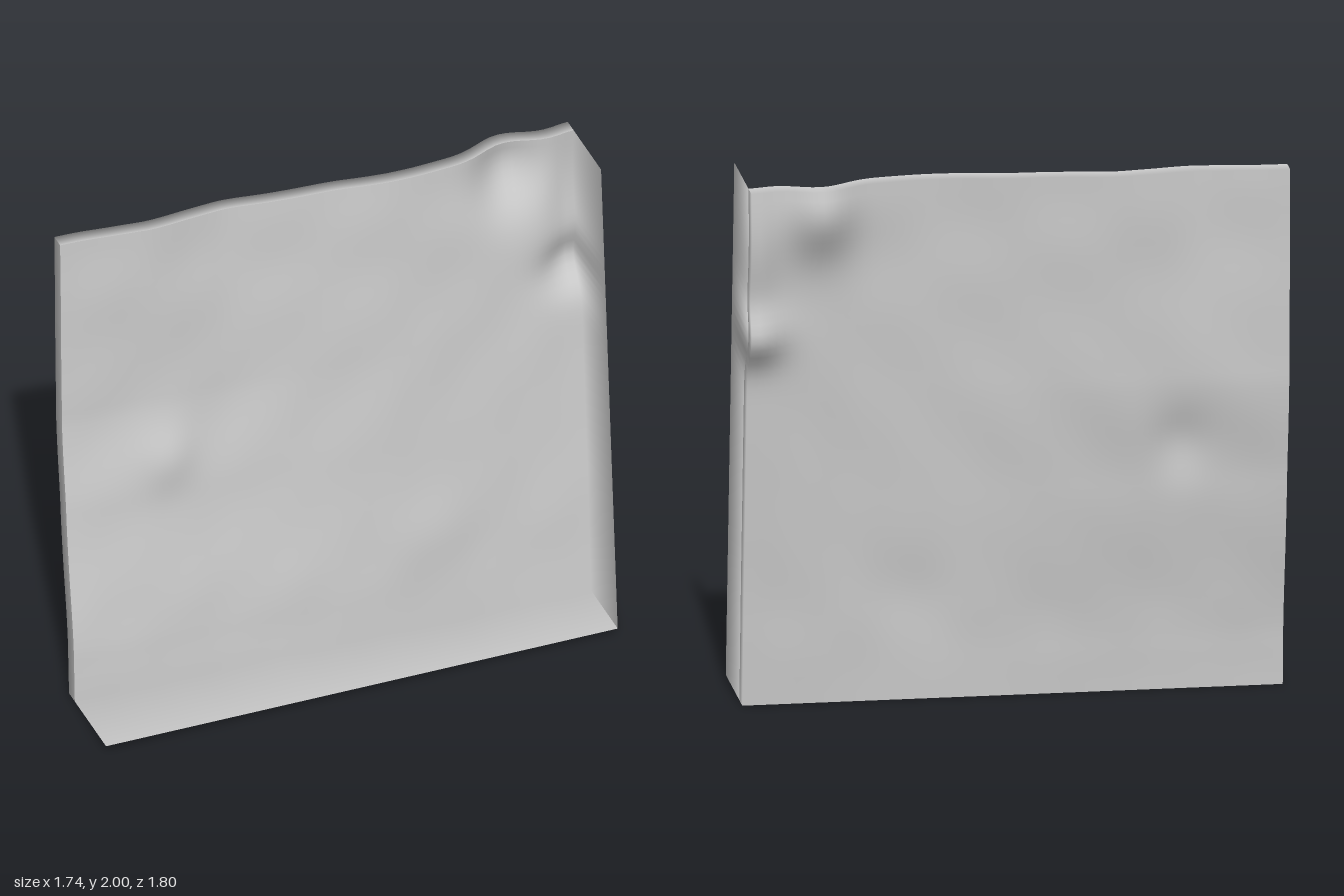
import * as THREE from 'three';

const N = 60, M = 60;              // panel columns and rows
const HALF = 0.99, THICK = 0.06;

// softly interpolated curve through [position, value] points
function curve(points, x) {
  for (let k = 1; k < points.length; k++) {
    const [x0, y0] = points[k - 1], [x1, y1] = points[k];
    if (x <= x1) return THREE.MathUtils.lerp(y0, y1, THREE.MathUtils.smoothstep(x, x0, x1) * 0.5 + 0.5 * (x - x0) / (x1 - x0));
  }
  return points[points.length - 1][1];
}

const TOP_EDGE = [[-0.99, -0.26], [-0.66, -0.23], [-0.37, -0.25], [-0.06, -0.22], [0.27, -0.18], [0.5, -0.185], [0.99, -0.21]];
const LEFT_EDGE = [[0, 0], [0.1, 0.06], [0.4, 0.58], [0.6, 0.9], [1, 1]];

// dents and bumps: u, height, depth, spread in u, spread in height
const BUMPS = [
  [0.73, 1.9, -0.085, 0.09, 0.12],
  [0.99, 1.75, -0.055, 0.07, 0.22],
  [0.97, 1.42, -0.065, 0.08, 0.07],
  [-0.6, 0.95, 0.025, 0.07, 0.09],
  [-0.72, 1.2, -0.015, 0.1, 0.25],
  [0.35, 0.4, 0.012, 0.12, 0.12],
];

// depth of the back of the rough slab at (u, t), t = 0 at the bottom and 1 at the top
function backDepth(u, t) {
  const side = (1 - u / HALF) / 2;
  const rise = THREE.MathUtils.lerp(t, curve(LEFT_EDGE, t), side ** 1.5);
  let v = THREE.MathUtils.lerp(THREE.MathUtils.lerp(-0.06, -0.11, side), curve(TOP_EDGE, u), rise);
  for (const [bu, by, d, su, sy] of BUMPS) {
    v += d * Math.exp(-(((u - bu) / su) ** 2 + ((t * 1.98 - by) / sy) ** 2) / 2);
  }
  const ripple = Math.sin(9 * u + 5 * t + 2 * Math.sin(7 * t)) * Math.sin(11 * t - 4 * u)
    + 0.5 * Math.sin(23 * u - 13 * t) * Math.sin(17 * t + 9 * u);
  return v + 0.003 * ripple * Math.min(1, 6 * t);
}

// cells of the sheet: the panel itself and the strips along its four borders
const PANEL = [1, N + 1, 1, M + 1];
const BOTTOM = [1, N + 1, 0, 1];
const TOP = [1, N + 1, M + 1, M + 2];
const LEFT = [0, 1, 1, M + 1];
const RIGHT = [N + 1, N + 2, 1, M + 1];

// rough sheet with border strips; depthAt gives the depth of grid point (i, j)
function addSheet(group, material, parts, facesBack, depthAt) {
  const cols = N + 3, positions = [];
  const id = (i, j) => j * cols + i;
  for (let j = 0; j < M + 3; j++) {
    for (let i = 0; i < cols; i++) {
      const u = HALF * (2 * THREE.MathUtils.clamp(i - 1, 0, N) / N - 1);
      const t = THREE.MathUtils.clamp(j - 1, 0, M) / M;
      const v = depthAt(i, j, backDepth(u, t), t);
      positions.push(u, 0.0087 + 1.985 * t + 0.079 * v, v);
    }
  }
  const cells = ([i0, i1, j0, j1]) => {
    const index = [];
    for (let j = j0; j < j1; j++) {
      for (let i = i0; i < i1; i++) {
        const a = id(i, j), b = id(i + 1, j), c = id(i + 1, j + 1), d = id(i, j + 1);
        index.push(...(facesBack ? [a, c, b, a, d, c] : [a, b, c, a, c, d]));
      }
    }
    return index;
  };

  const base = new THREE.BufferGeometry();
  base.setAttribute('position', new THREE.Float32BufferAttribute(positions, 3));
  base.setIndex(Object.values(parts).flatMap(cells));
  base.computeVertexNormals();

  // the panel keeps its own normals at its borders, so the strips shade softly into it
  const normal = base.attributes.normal;
  const copy = (to, from) => normal.setXYZ(to, normal.getX(from), normal.getY(from), normal.getZ(from));
  for (let i = 1; i <= N + 1; i++) {
    copy(id(i, 1), id(i, 2));
    copy(id(i, M + 1), id(i, M));
  }
  for (let j = 1; j <= M + 1; j++) {
    copy(id(1, j), id(2, j));
    copy(id(N + 1, j), id(N, j));
  }

  for (const [name, range] of Object.entries(parts)) {
    const geometry = new THREE.BufferGeometry();
    geometry.setAttribute('position', base.attributes.position);
    geometry.setAttribute('normal', normal);
    geometry.setIndex(cells(range));
    const mesh = new THREE.Mesh(geometry, material);
    mesh.name = name;
    group.add(mesh);
  }
}

export function createModel() {
  const group = new THREE.Group();
  const stone = new THREE.MeshStandardMaterial({ color: 0xcccccc, side: THREE.DoubleSide });
  stone.name = 'light grey stone';

  // front of the slab, with the floor and side flanges standing forward
  addSheet(group, stone, { frontPanel: PANEL, floorFlange: BOTTOM, sideFlange: RIGHT }, false, (i, j, v, t) => {
    if (j === 0) return 0.27;
    return i === N + 2 ? 0.27 - 0.17 * t : v + THICK;
  });

  // back of the slab, with edge strips reaching forward to the front
  const backParts = { backPanel: PANEL, topEdge: TOP, leftEdge: LEFT, rightEdge: RIGHT, bottomEdge: BOTTOM };
  addSheet(group, stone, backParts, true, (i, j, v) => {
    const onBorder = i === 0 || i === N + 2 || j === 0 || j === M + 2;
    return onBorder ? v + THICK : v;
  });

  // the wall stands diagonally
  group.rotation.y = 0.82;
  group.name = 'wallSection';
  return group;
}
